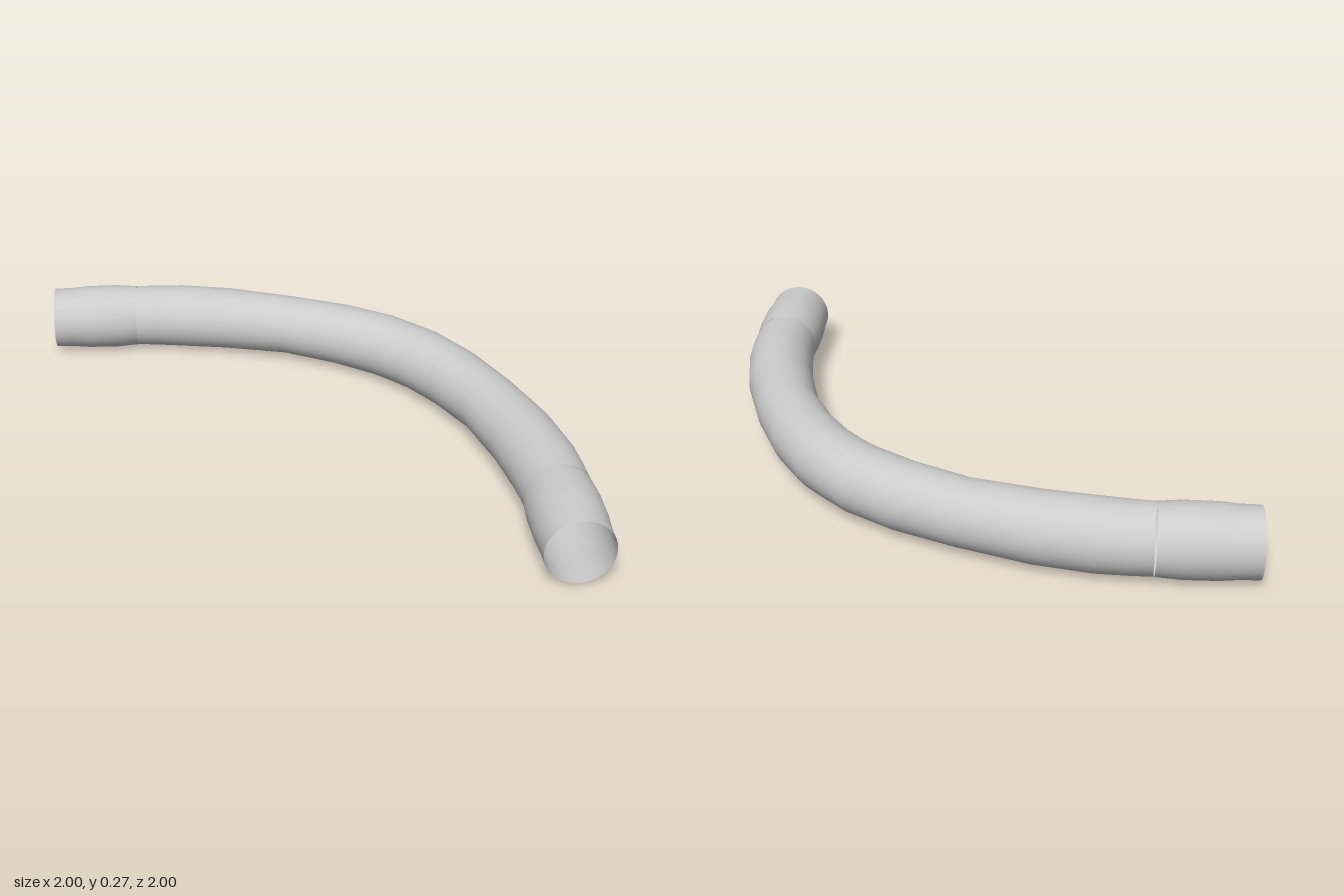
import * as THREE from 'three';

const SIDES = 32;
const HEIGHT = 0.142; // height of the pipe axis
const material = new THREE.MeshStandardMaterial({ color: 0xcccccc, side: THREE.DoubleSide });

// Open round skin through stations [x, z, radius] lying in a horizontal plane
function loft(name, stations) {
  const positions = [], index = [];
  stations.forEach(([x, z, r], i) => {
    const a = stations[Math.max(i - 1, 0)];
    const b = stations[Math.min(i + 1, stations.length - 1)];
    const t = new THREE.Vector2(b[0] - a[0], b[1] - a[1]).normalize();
    for (let j = 0; j < SIDES; j++) {
      const angle = (j / SIDES) * Math.PI * 2;
      const out = Math.cos(angle) * r;
      positions.push(x + t.y * out, HEIGHT + Math.sin(angle) * r, z - t.x * out);
      if (i < stations.length - 1) {
        const p = i * SIDES + j, q = i * SIDES + ((j + 1) % SIDES);
        index.push(p, q, p + SIDES, q, q + SIDES, p + SIDES);
      }
    }
  });
  const geometry = new THREE.BufferGeometry();
  geometry.setAttribute('position', new THREE.Float32BufferAttribute(positions, 3));
  geometry.setIndex(index);
  geometry.computeVertexNormals();
  const mesh = new THREE.Mesh(geometry, material);
  mesh.name = name;
  return mesh;
}

// Mirror stations across the bend's diagonal, keeping the direction of travel
const mirror = (stations) => stations.map(([x, z, r]) => [-z, -x, r]).reverse();

export function createModel() {
  const group = new THREE.Group();
  group.name = 'pipeBend';

  // Quarter bend: half of its stations, then the mirrored half
  const half = [
    [-0.65, -0.867, 0.126], [-0.57, -0.863, 0.128], [-0.46, -0.852, 0.131],
    [-0.26, -0.815, 0.129], [0, -0.735, 0.122], [0.215, -0.633, 0.126], [0.375, -0.527, 0.128],
  ];
  group.add(loft('bend', [...half, [0.453, -0.453, 0.127], ...mirror(half)]));

  // Slightly bulging straight collars on both ends
  const collar = [
    [-1, -0.867, 0.125], [-0.93, -0.867, 0.126], [-0.86, -0.867, 0.132],
    [-0.74, -0.867, 0.133], [-0.65, -0.867, 0.126],
  ];
  group.add(loft('backCollar', collar), loft('frontCollar', mirror(collar)));
  return group;
}
